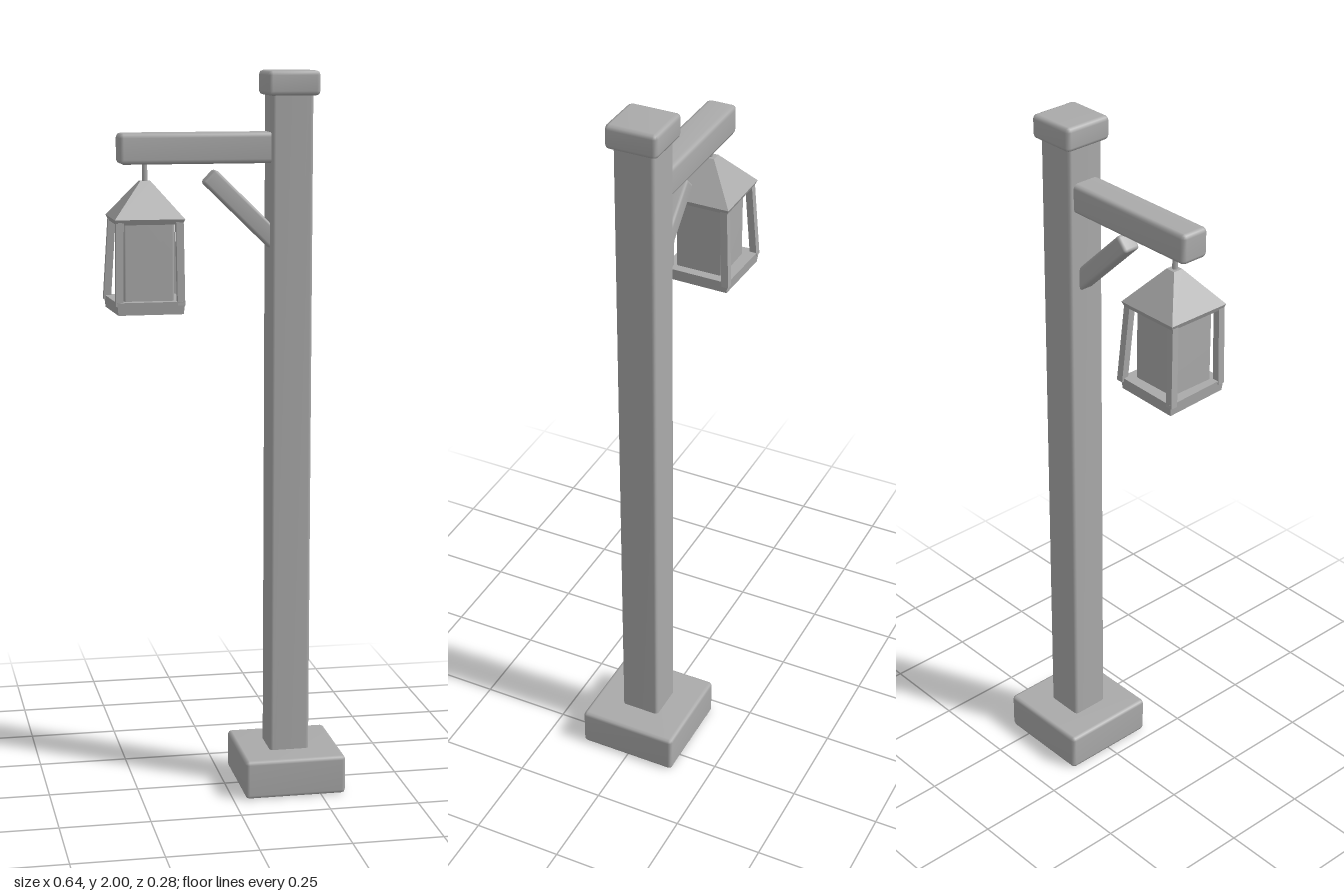
import * as THREE from 'three';
import { mergeVertices } from 'three/addons/utils/BufferGeometryUtils.js';
import { RoundedBoxGeometry } from 'three/addons/geometries/RoundedBoxGeometry.js';

const LX = -0.217; // lantern axis

export function createModel() {
  const group = new THREE.Group();
  const stone = new THREE.MeshStandardMaterial({ color: 0xaaaaaa });
  stone.name = 'plainGrey';

  const add = (name, geometry, x = 0, y = 0, z = 0, parent = group) => {
    const mesh = new THREE.Mesh(geometry, stone);
    mesh.name = name;
    mesh.position.set(x, y, z);
    parent.add(mesh);
    return mesh;
  };

  // Box with chamfered edges and normals shared across them
  const bevelBox = (w, h, d, bevel) => {
    const g = new RoundedBoxGeometry(w, h, d, 1, bevel);
    g.deleteAttribute('normal');
    g.deleteAttribute('uv');
    const merged = mergeVertices(g, 1e-5);
    merged.computeVertexNormals();
    return merged;
  };

  // Box whose corners are placed by a rule of their signs
  const skewBox = (corner) => {
    const g = new THREE.BoxGeometry(2, 2, 2);
    const p = g.attributes.position;
    for (let i = 0; i < p.count; i++) {
      p.setXYZ(i, ...corner(p.getX(i), p.getY(i), p.getZ(i)));
    }
    g.computeVertexNormals();
    return g;
  };

  // Square frustum with flat faces
  const frustum = (topHalf, bottomHalf, h) => {
    const g = new THREE.CylinderGeometry(topHalf * Math.SQRT2, bottomHalf * Math.SQRT2, h, 4)
      .rotateY(Math.PI / 4).toNonIndexed();
    g.computeVertexNormals();
    return g;
  };

  // Post, footing, cap and arm
  add('footing', bevelBox(0.285, 0.11, 0.285, 0.011), 0.177, 0.055);
  add('post', bevelBox(0.112, 1.87, 0.112, 0.009), 0.176, 1.035);
  add('postCap', bevelBox(0.143, 0.066, 0.143, 0.012), 0.177, 1.967);
  add('arm', bevelBox(0.44, 0.082, 0.084, 0.012), -0.07, 1.796);

  // Diagonal brace
  const a = new THREE.Vector2(-0.045, 1.722), b = new THREE.Vector2(0.15, 1.532);
  const brace = add('brace', bevelBox(a.distanceTo(b), 0.05, 0.05, 0.008),
    (a.x + b.x) / 2, (a.y + b.y) / 2);
  brace.rotation.z = Math.atan2(b.y - a.y, b.x - a.x);

  // Hanging lantern
  const lantern = new THREE.Group();
  lantern.name = 'lantern';
  lantern.position.x = LX;
  group.add(lantern);

  add('hanger', new THREE.CylinderGeometry(0.007, 0.007, 0.07, 8), 0, 1.73, 0, lantern);
  add('roof', frustum(0.014, 0.094, 0.096), 0, 1.662, -0.002, lantern);
  add('eave', frustum(0.094, 0.088, 0.014), 0, 1.607, -0.002, lantern);
  add('glass', bevelBox(0.136, 0.22, 0.136, 0.006), 0, 1.495, 0, lantern);

  // Tray and corner bars, bent outward at the back
  const tray = (sx, sz) => {
    if (sz > 0) return sx < 0 ? [-0.09, 0.095] : [0.093, 0.093];
    return sx < 0 ? [-0.1, -0.103] : [0.095, -0.097];
  };
  add('tray', skewBox((sx, sy, sz) => {
    const [x, z] = tray(sx, sz);
    const inset = sy < 0 ? 0.96 : 1;
    return [x * inset, 1.378 + sy * 0.017, z * inset];
  }), 0, 0, 0, lantern);

  for (const cx of [-1, 1]) {
    for (const cz of [-1, 1]) {
      const spread = cz < 0 ? 0.093 : 0.083;
      add('cornerBar', skewBox((sx, sy, sz) => {
        const r = sy > 0 ? 0.08 : spread;
        return [cx * r + sx * 0.01, sy > 0 ? 1.605 : 1.385, cz * r + sz * 0.01];
      }), 0, 0, 0, lantern);
    }
  }
  return group;
}
